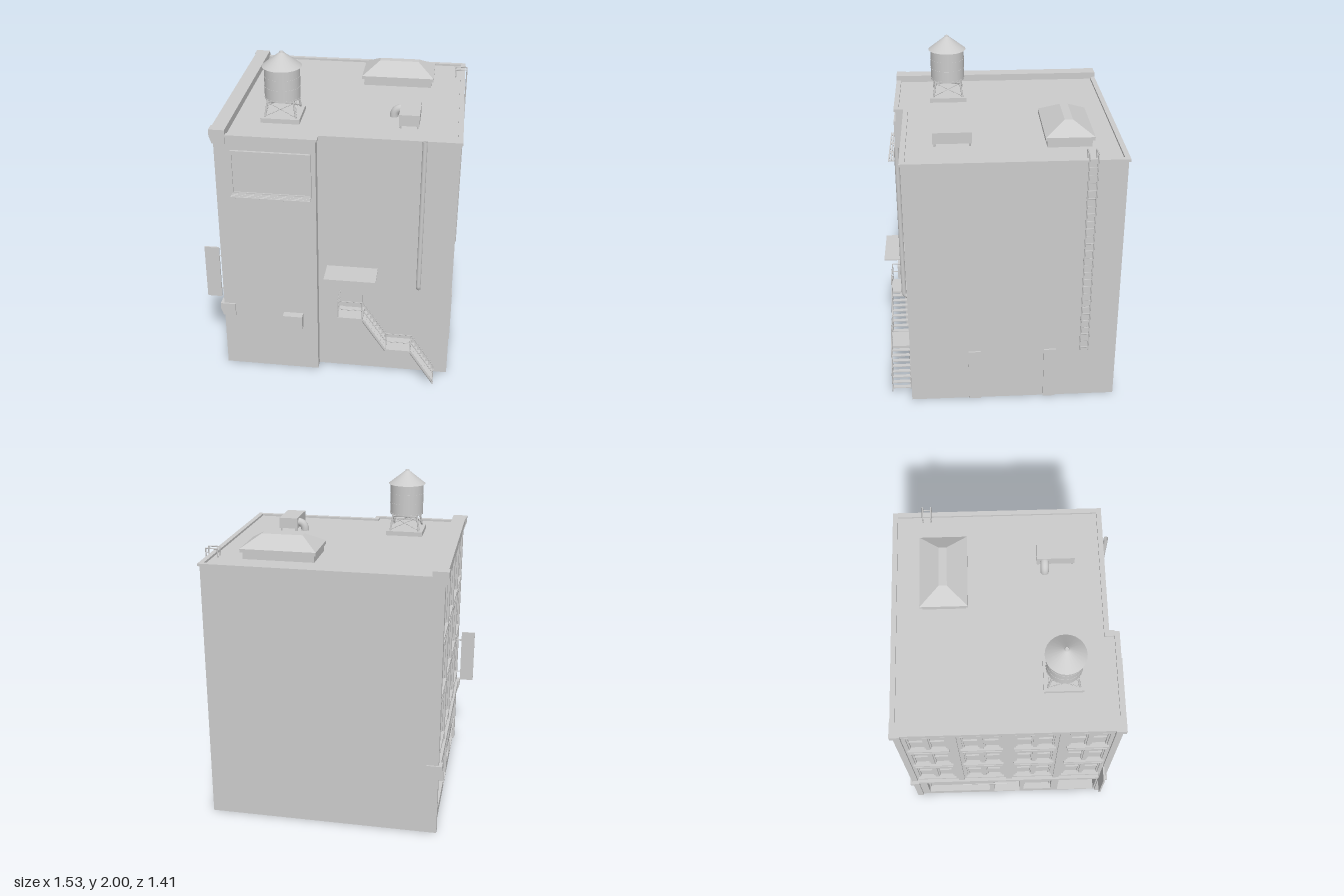
import * as THREE from 'three';

const material = new THREE.MeshStandardMaterial({ color: 0xcccccc, side: THREE.DoubleSide });

export function createModel() {
  const root = new THREE.Group();
  const group = (name, parent = root) => {
    const g = new THREE.Group();
    g.name = name;
    parent.add(g);
    return g;
  };
  const add = (name, geo, parent = root) => {
    const m = new THREE.Mesh(geo, material);
    m.name = name;
    parent.add(m);
    return m;
  };
  // box given by its limits on each axis
  const box = (name, x0, x1, y0, y1, z0, z1, parent) => {
    const m = add(name, new THREE.BoxGeometry(x1 - x0, y1 - y0, z1 - z0), parent);
    m.position.set((x0 + x1) / 2, (y0 + y1) / 2, (z0 + z1) / 2);
    return m;
  };
  // thin rod between two points
  const rod = (name, a, b, r, parent, sides = 6) => {
    const p = new THREE.Vector3(...a), q = new THREE.Vector3(...b), d = q.clone().sub(p);
    const m = add(name, new THREE.CylinderGeometry(r, r, d.length(), sides), parent);
    m.position.copy(p).add(q).multiplyScalar(0.5);
    m.quaternion.setFromUnitVectors(new THREE.Vector3(0, 1, 0), d.normalize());
    return m;
  };
  const poly = pts => new THREE.Shape(pts.map(([x, y]) => new THREE.Vector2(x, y)));
  const extrude = (shape, depth) => new THREE.ExtrudeGeometry(shape, { depth, bevelEnabled: false });
  // plan outline (x, z) raised between two heights
  const raise = (name, shape, y0, y1) => {
    const m = add(name, extrude(shape, y1 - y0).rotateX(-Math.PI / 2));
    m.position.y = y0;
    return m;
  };

  // stepped plan of the building, grown by e on all sides
  const plan = e => [[-0.64 - e, -0.70 - e], [0.74 + e, -0.70 - e], [0.74 + e, 0.55 + e],
    [-0.07 + e, 0.55 + e], [-0.07 + e, 0.61 + e], [-0.64 - e, 0.61 + e]].map(([x, z]) => [x, -z]);

  // walls on three sides, open below
  const outer = plan(0), inner = plan(-0.008);
  inner[0][0] = inner[5][0] = -0.64;
  raise('walls', poly([...outer, ...inner.reverse()]), 0, 1.6);
  raise('roofDeck', poly(plan(-0.002)), 1.58, 1.597);
  const coping = poly(plan(0.01));
  coping.holes.push(poly(plan(-0.02)));
  raise('parapetCoping', coping, 1.595, 1.61);

  // street facade with window and shop openings
  const facade = group('streetFacade');
  const wall = poly([[-0.7, 0], [0.61, 0], [0.61, 1.6], [-0.7, 1.6]]);
  const hole = (z0, z1, y0, y1) => wall.holes.push(poly([[z0, y0], [z0, y1], [z1, y1], [z1, y0]]));
  const pilasters = [-0.68, -0.362, -0.045, 0.272, 0.59];
  for (let c = 0; c < 4; c++) {
    const a = pilasters[c] + 0.045, b = pilasters[c + 1] - 0.045, mid = (a + b) / 2;
    for (let r = 0; r < 3; r++) {
      const y0 = 0.53 + r * 0.355, y1 = y0 + 0.28;
      const w = group('window', facade);
      for (const [p, q] of [[a, mid - 0.012], [mid + 0.012, b]]) {
        hole(p, q, y0, y1);
        box('pane', -0.626, -0.622, y0, y1, p, q, w);
        box('topSash', -0.636, -0.624, y0 + 0.135, y0 + 0.147, p, q, w);
        for (const s of [p, q - 0.01]) box('sashSide', -0.636, -0.624, y0, y1, s, s + 0.01, w);
      }
      box('sill', -0.658, -0.64, y0 - 0.018, y0, a - 0.012, b + 0.012, w);
      box('lintel', -0.653, -0.64, y1, y1 + 0.015, a - 0.006, b + 0.006, w);
    }
  }
  for (const z of pilasters) box('pilaster', -0.656, -0.64, 0.45, 1.57, z - 0.02, z + 0.02, facade);

  // shop bays: [z0, z1, sill height, depth]
  for (const [z0, z1, s, d] of [[-0.61, -0.18, 0.06, 0.03], [-0.15, 0.03, 0.012, 0.12], [0.06, 0.25, 0.06, 0.03], [0.3, 0.56, 0.012, 0.12]]) {
    const bay = group('shopBay', facade), x = -0.625 + d, y = 0.345;
    hole(z0, z1, s, y);
    box('shopGlass', x - 0.006, x, s, y, z0, z1, bay);
    box('shopFloor', -0.645, x, s - 0.01, s, z0, z1, bay);
    box('shopCeiling', -0.626, x, y, y + 0.006, z0, z1, bay);
    for (const z of [z0 - 0.006, z1]) box('shopReveal', -0.626, x, s, y, z, z + 0.006, bay);
    for (const z of [z0, z1 - 0.012]) box('shopFrame', x - 0.015, x, s, y, z, z + 0.012, bay);
    box('shopTransom', x - 0.015, x, 0.29, 0.3, z0, z1, bay);
  }
  for (const z of [-0.68, 0.59]) box('shopPilaster', -0.656, -0.64, 0, 0.38, z - 0.02, z + 0.02, facade);
  const wallMesh = add('facadeWall', extrude(wall, 0.02).rotateY(-Math.PI / 2), facade);
  wallMesh.position.x = -0.625;

  // upper and lower cornices with end blocks
  const along = (name, pts, z0, z1) => {
    const m = add(name, extrude(poly(pts), z1 - z0), facade);
    m.position.z = z0;
  };
  const upper = (x, r) => [[x, 1.6], [x + 0.015, 1.555], [r, 1.555], [r, 1.64], [x, 1.64]];
  const lower = (x, r) => [[x, 0.415], [x + 0.015, 0.37], [r, 0.37], [r, 0.455], [x, 0.455]];
  along('cornice', upper(-0.67, -0.585), -0.66, 0.57);
  along('shopCornice', lower(-0.667, -0.64), -0.66, 0.57);
  for (const [z0, z1] of [[-0.71, -0.65], [0.56, 0.62]]) {
    along('corniceBlock', upper(-0.677, -0.585), z0, z1);
    along('shopCorniceBlock', lower(-0.677, -0.585), z0, z1);
  }
  const fascia = box('tiltedPanel', -0.684, -0.678, 0.38, 0.458, -0.355, -0.05, facade);
  fascia.rotation.z = 0.2;

  // water tower
  const tower = group('waterTower');
  tower.position.set(-0.31, 0, 0.28);
  box('towerBase', -0.115, 0.115, 1.595, 1.625, -0.115, 0.115, tower);
  const cyl = (name, r0, r1, y0, y1, parent, open = false) => {
    add(name, new THREE.CylinderGeometry(r1, r0, y1 - y0, 24, 1, open), parent).position.y = (y0 + y1) / 2;
  };
  cyl('tank', 0.105, 0.105, 1.72, 1.915, tower);
  cyl('tankRoof', 0.117, 0.014, 1.912, 1.992, tower);
  cyl('roofCap', 0.016, 0.01, 1.988, 2.0, tower);
  for (const y of [1.725, 1.79, 1.85]) cyl('tankHoop', 0.1065, 0.1065, y, y + 0.004, tower);
  const corners = [[1, 1], [-1, 1], [-1, -1], [1, -1]];
  corners.forEach(([sx, sz], i) => {
    const [tx, tz] = corners[(i + 1) % 4], f = 0.092, t = 0.075;
    rod('towerLeg', [sx * f, 1.62, sz * f], [sx * t, 1.725, sz * t], 0.006, tower);
    rod('brace', [sx * f, 1.63, sz * f], [tx * t, 1.71, tz * t], 0.0025, tower);
    rod('brace', [tx * f, 1.63, tz * f], [sx * t, 1.71, sz * t], 0.0025, tower);
    rod('towerBeam', [sx * t, 1.715, sz * t], [tx * t, 1.715, tz * t], 0.006, tower);
  });

  // hipped skylight: the top of a box is drawn in to a narrow ridge
  const skylight = group('skylight');
  box('skylightCurb', 0.112, 0.538, 1.595, 1.645, -0.528, -0.272, skylight);
  box('skylightEave', 0.1, 0.552, 1.64, 1.66, -0.541, -0.259, skylight);
  const hip = new THREE.BoxGeometry(0.452, 0.068, 0.282).toNonIndexed();
  const hp = hip.attributes.position;
  for (let i = 0; i < hp.count; i++) {
    if (hp.getY(i) > 0) hp.setXYZ(i, Math.sign(hp.getX(i)) * 0.123, 0.034, Math.sign(hp.getZ(i)) * 0.024);
  }
  hip.computeVertexNormals();
  add('skylightRoof', hip, skylight).position.set(0.326, 1.694, -0.4);

  // rooftop air unit with a bent duct
  const unit = group('airUnit');
  box('unitBody', 0.38, 0.498, 1.615, 1.682, 0.153, 0.378, unit);
  for (const x of [0.39, 0.488]) for (const z of [0.165, 0.366]) rod('unitFoot', [x, 1.595, z], [x, 1.62, z], 0.006, unit);
  const duct = new THREE.CurvePath();
  duct.add(new THREE.QuadraticBezierCurve3(new THREE.Vector3(0.39, 1.65, 0.2), new THREE.Vector3(0.34, 1.65, 0.2), new THREE.Vector3(0.34, 1.595, 0.2)));
  add('duct', new THREE.TubeGeometry(duct, 10, 0.026, 12), unit);

  // roof ladder with hooped tops
  const ladder = group('ladder');
  for (const z of [-0.527, -0.477]) {
    rod('ladderRail', [0.76, 0.35, z], [0.76, 1.652, z], 0.004, ladder);
    rod('ladderTop', [0.76, 1.65, z], [0.69, 1.65, z], 0.004, ladder);
    rod('ladderPost', [0.69, 1.65, z], [0.69, 1.595, z], 0.004, ladder);
    for (const y of [0.56, 0.97, 1.38]) rod('ladderBracket', [0.735, y, z], [0.76, y, z], 0.004, ladder);
  }
  for (let y = 0.37; y < 1.62; y += 0.048) rod('rung', [0.76, y, -0.527], [0.76, y, -0.477], 0.003, ladder);

  // side doors
  for (const z of [0.16, -0.298]) box('sideDoor', 0.735, 0.75, 0, 0.35, z - 0.037, z + 0.037);

  // drainpipe turned into the wall at the foot
  const v = (y, z) => new THREE.Vector3(0.54, y, z);
  const drain = new THREE.CurvePath();
  drain.add(new THREE.LineCurve3(v(1.615, 0.578), v(0.66, 0.578)));
  drain.add(new THREE.QuadraticBezierCurve3(v(0.66, 0.578), v(0.632, 0.578), v(0.632, 0.545)));
  add('drainpipe', new THREE.TubeGeometry(drain, 60, 0.014, 12));

  // billboard and slatted walkway
  const board = group('billboard');
  box('boardPanel', -0.555, -0.1, 1.245, 1.51, 0.605, 0.618, board);
  for (const y of [1.245, 1.508]) box('boardEdge', -0.56, -0.095, y, y + 0.008, 0.605, 0.625, board);
  for (const x of [-0.56, -0.103]) box('boardEdge', x, x + 0.008, 1.245, 1.515, 0.605, 0.625, board);
  for (let i = 0; i < 4; i++) box('walkwaySlat', -0.558, -0.095, 1.24, 1.246, 0.623 + i * 0.014, 0.632 + i * 0.014, board);
  for (let i = 0; i < 4; i++) box('walkwayBracket', -0.54 + i * 0.14, -0.53 + i * 0.14, 1.234, 1.241, 0.605, 0.672, board);

  // projecting sign, wall unit, door and canopy
  box('bladeSign', -0.77, -0.68, 0.47, 0.826, 0.556, 0.566);
  for (const y of [0.53, 0.768]) rod('signArm', [-0.69, y, 0.561], [-0.64, y, 0.561], 0.004);
  box('wallUnit', -0.28, -0.16, 0.32, 0.418, 0.59, 0.655);
  box('upperDoor', 0.08, 0.2, 0.455, 0.702, 0.54, 0.556);
  box('canopy', -0.017, 0.292, 0.738, 0.745, 0.54, 0.705);

  // exterior stair: two landings, two flights, railings
  const stair = group('stair'), zi = 0.56, zo = 0.672;
  const landing = (x0, x1, y) => {
    box('landing', x0, x1, y, y + 0.016, 0.545, 0.676, stair);
    for (const h of [0.075, 0.133]) rod('landingRail', [x0, y + h, zo], [x1, y + h, zo], 0.003, stair);
    for (const x of [x0 + 0.003, x1 - 0.003]) rod('railPost', [x, y, zo], [x, y + 0.133, zo], 0.003, stair);
  };
  const flight = (x0, y0, x1, y1) => {
    for (const z of [zi, zo]) {
      const s = rod('stringer', [x0, y0, z], [x1, y1, z], 0.008, stair, 4);
      s.scale.z = 0.5;
    }
    for (const h of [0.075, 0.133]) rod('handrail', [x0, y0 + h, zo], [x1, y1 + h, zo], 0.003, stair);
    for (let i = 0; i < 8; i++) {
      const t = (i + 0.5) / 8, x = x0 + (x1 - x0) * t, y = y0 + (y1 - y0) * t;
      box('tread', x - 0.012, x + 0.012, y, y + 0.005, zi, zo, stair);
    }
  };
  landing(0.062, 0.215, 0.44);
  landing(0.358, 0.512, 0.225);
  flight(0.215, 0.445, 0.358, 0.23);
  flight(0.512, 0.23, 0.656, 0.012);
  rod('railPost', [0.656, 0, zo], [0.656, 0.145, zo], 0.003, stair);
  for (const h of [0.075, 0.133]) rod('landingEndRail', [0.064, 0.44 + h, 0.55], [0.064, 0.44 + h, zo], 0.003, stair);

  return root;
}
